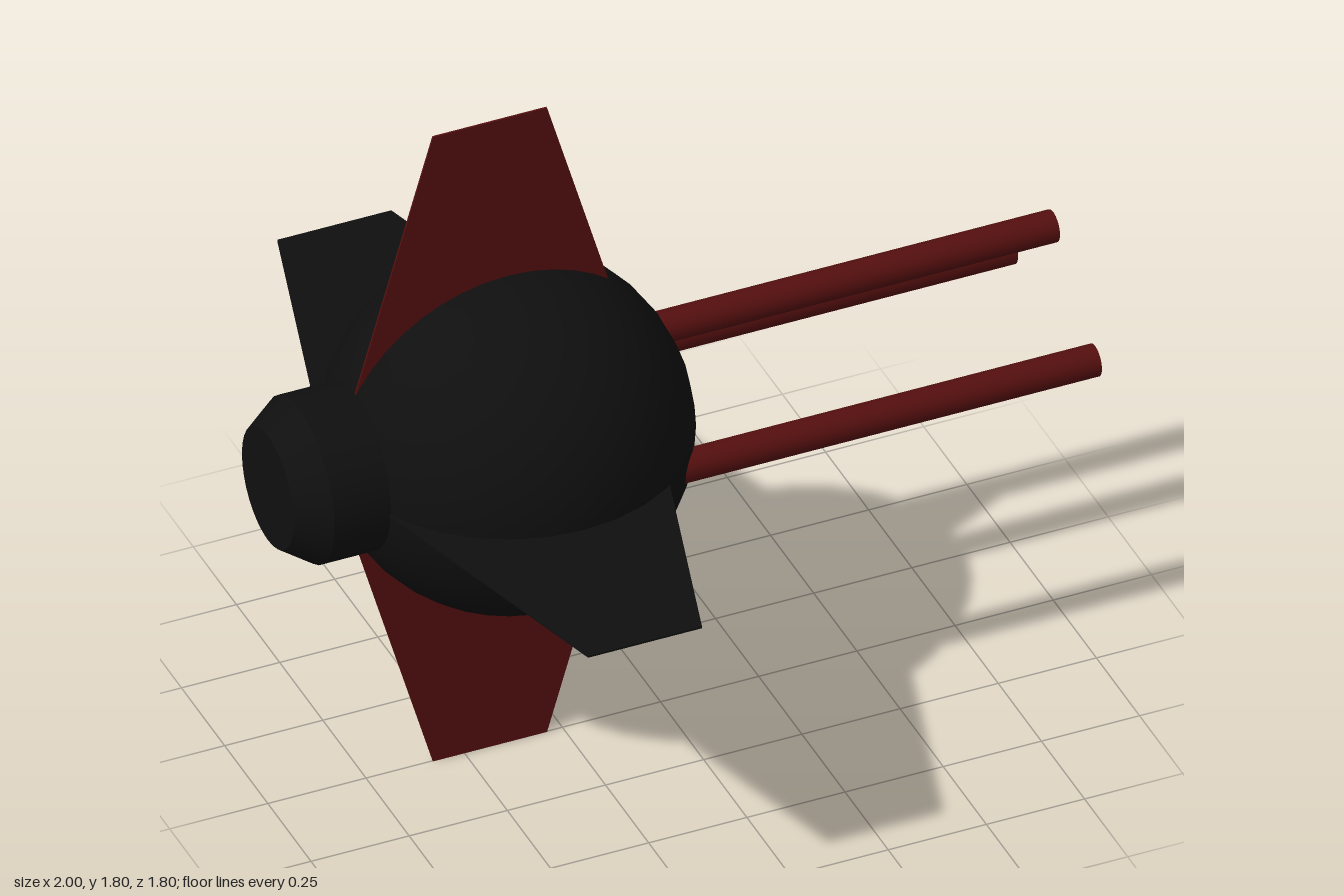
import * as THREE from 'three';

const CX = -0.39, CY = 0.905; // hub of the hull

export function createModel() {
  const model = new THREE.Group();
  const black = new THREE.MeshStandardMaterial({ color: 0x0f0f0f });
  const red = new THREE.MeshStandardMaterial({ color: 0x550f0f });

  const add = (name, geometry, material, x, y, z) => {
    const mesh = new THREE.Mesh(geometry, material);
    mesh.name = name;
    mesh.position.set(x, y, z);
    model.add(mesh);
    return mesh;
  };

  // Spherical hull
  add('hull', new THREE.SphereGeometry(0.44, 32, 24), black, CX, CY + 0.005, 0);

  // Engine: short drum along x with a chamfered rear end
  const drum = new THREE.CylinderGeometry(0.205, 0.205, 0.42, 32);
  drum.rotateZ(Math.PI / 2);
  add('engineDrum', drum, black, -0.71, CY + 0.01, 0);
  const nozzle = new THREE.CylinderGeometry(0.205, 0.15, 0.08, 32);
  nozzle.rotateZ(-Math.PI / 2);
  add('engineNozzle', nozzle, black, -0.96, CY + 0.01, 0);

  // Four thin tapered fins: a red upright pair and a black level pair
  const outline = new THREE.Shape([
    [-0.45, 0], [0.36, 0], [0.1, 0.9], [-0.19, 0.9],
  ].map(([x, y]) => new THREE.Vector2(x, y)));
  const finGeometry = new THREE.ExtrudeGeometry(outline, { depth: 0.005, bevelEnabled: false });
  finGeometry.translate(0, 0, -0.0025);
  const finNames = ['topFin', 'frontFin', 'bottomFin', 'backFin'];
  finNames.forEach((name, i) => {
    const fin = add(name, finGeometry, i % 2 ? black : red, CX, CY, 0);
    fin.rotation.x = i * Math.PI / 2;
  });

  // Three forward barrels set into the hull
  const barrel = new THREE.CylinderGeometry(0.04, 0.04, 1.2, 16);
  barrel.rotateZ(Math.PI / 2);
  [['topBarrel', 1.085, 0], ['frontBarrel', 0.86, 0.243], ['backBarrel', 0.86, -0.243]]
    .forEach(([name, y, z]) => add(name, barrel, red, 0.4, y, z));

  return model;
}
